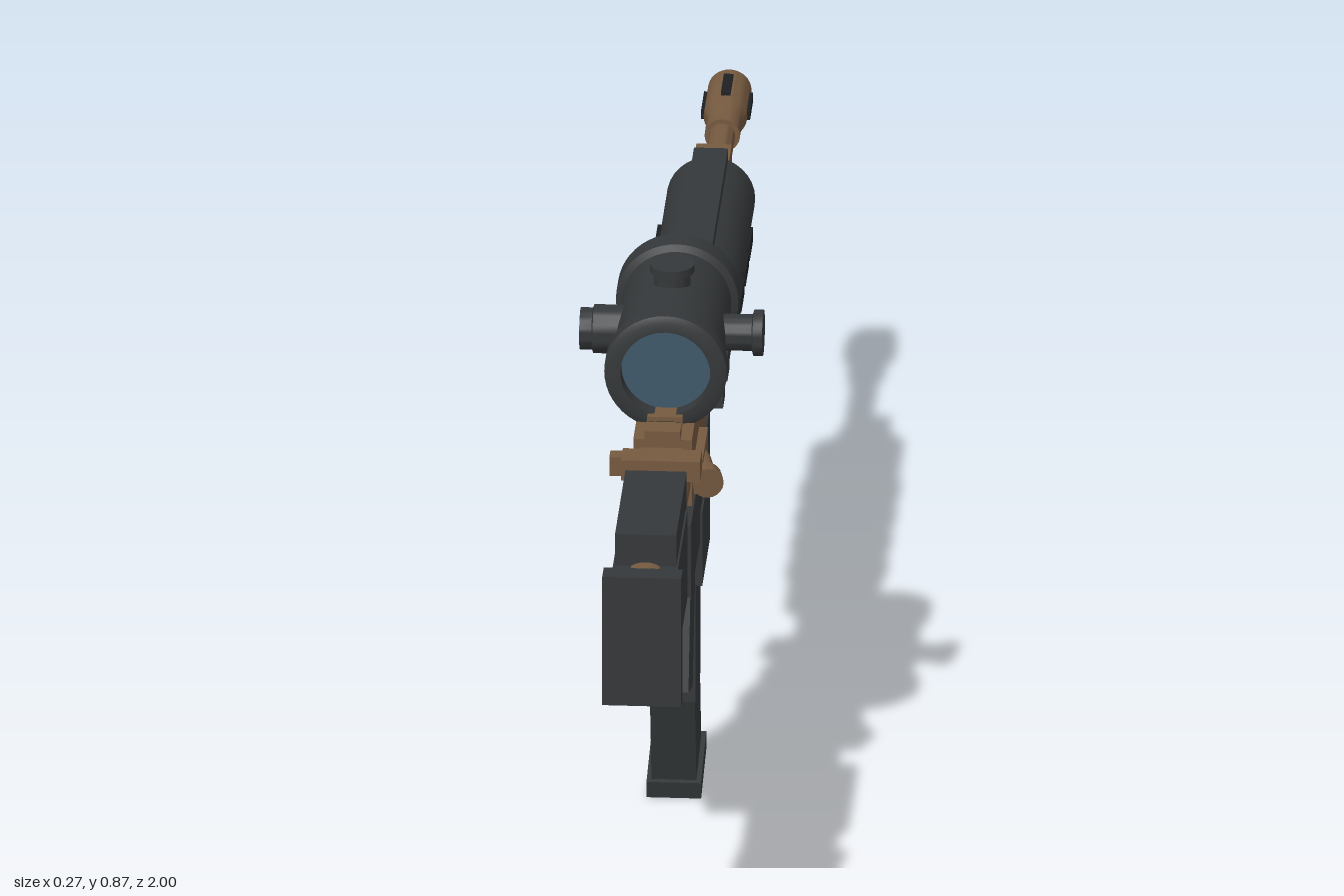
import * as THREE from 'three';
import { toCreasedNormals } from 'three/addons/utils/BufferGeometryUtils.js';

const mat = (color) => new THREE.MeshStandardMaterial({ color });

export function createModel() {
  const root = new THREE.Group();
  const dark = mat(0x35383a), black = mat(0x1e2022), brown = mat(0x765a40), glass = mat(0x3f5a6c);

  const add = (name, geo, material) => {
    const mesh = new THREE.Mesh(geo, material);
    mesh.name = name;
    root.add(mesh);
    return mesh;
  };
  // Box given by its limits on each axis
  const box = (name, material, x0, x1, y0, y1, z0, z1) => {
    const mesh = add(name, new THREE.BoxGeometry(x1 - x0, y1 - y0, z1 - z0), material);
    mesh.position.set((x0 + x1) / 2, (y0 + y1) / 2, (z0 + z1) / 2);
    return mesh;
  };
  // Side outline of [z, y] points, extruded across x
  const slab = (name, material, half, points) => {
    const shape = new THREE.Shape(points.map(([z, y]) => new THREE.Vector2(z, y)));
    const geo = new THREE.ExtrudeGeometry(shape, { depth: half * 2, bevelEnabled: false });
    geo.translate(0, 0, -half).rotateY(-Math.PI / 2);
    return add(name, geo, material);
  };
  // Turned part from [radius, position] points; axis 'x', 'y' or 'z'
  const turned = (name, material, axis, pos, points, sides = 32) => {
    let geo = new THREE.LatheGeometry(points.map(([r, h]) => new THREE.Vector2(r, h)), sides);
    geo = toCreasedNormals(geo, 0.5);
    if (axis === 'z') geo.rotateX(Math.PI / 2);
    if (axis === 'x') geo.rotateZ(-Math.PI / 2);
    const mesh = add(name, geo, material);
    mesh.position.set(...pos);
    return mesh;
  };

  // Stock
  box('buttPlate', dark, -0.058, 0.058, 0.465, 0.67, 0.965, 1);
  slab('stockBody', dark, 0.048, [[0.70, 0.51], [0.83, 0.51], [0.91, 0.475], [0.967, 0.475], [0.967, 0.65], [0.70, 0.65]]);
  box('cheekRest', dark, -0.045, 0.045, 0.64, 0.70, 0.675, 0.91);
  box('stockInsert', brown, -0.025, 0.025, 0.487, 0.51, 0.84, 0.88);
  turned('bufferTube', brown, 'z', [0, 0.615, 0], [[0, 0.5], [0.041, 0.5], [0.041, 0.966], [0, 0.966]]);

  // Upper receiver
  box('upperReceiver', brown, -0.043, 0.043, 0.58, 0.685, 0.045, 0.525);
  box('chargingHandle', brown, -0.058, 0.058, 0.64, 0.672, 0.53, 0.575);
  box('chargingHandleStem', brown, -0.03, 0.03, 0.64, 0.672, 0.50, 0.54);
  box('chargingHandleLatch', brown, -0.076, -0.05, 0.64, 0.67, 0.535, 0.56);
  box('ejectionPanel', brown, 0.04, 0.056, 0.58, 0.635, 0.36, 0.48);
  const assist = turned('forwardAssist', brown, 'z', [0.058, 0.61, 0.47],
    [[0, -0.05], [0.016, -0.05], [0.016, 0.015], [0.023, 0.015], [0.023, 0.04], [0, 0.04]], 20);
  assist.rotation.y = 0.2;
  turned('barrelNut', brown, 'z', [0, 0.6, 0], [[0, -0.02], [0.035, -0.02], [0.035, 0.09], [0, 0.09]]);

  // Top rail with cross teeth
  box('railBase', brown, -0.022, 0.022, 0.682, 0.691, -0.15, 0.53);
  for (let i = 0; i < 13; i++) {
    const z = -0.15 + i * 0.0537;
    box('railTooth', brown, -0.026, 0.026, 0.684, 0.70, z, z + 0.036);
    if (i < 12) box('railGap', black, -0.024, 0.024, 0.684, 0.693, z + 0.036, z + 0.0537);
  }

  // Handguard with top ridge and side vents
  turned('handguard', dark, 'z', [0, 0.595, 0], [[0, -0.575], [0.065, -0.575], [0.065, 0.01], [0, 0.01]]);
  box('handguardRidge', dark, -0.025, 0.025, 0.63, 0.674, -0.575, 0.01);
  for (const s of [-1, 1]) {
    for (let i = 0; i < 4; i++) {
      const vent = box('handguardVent', black, -0.006, 0.006, 0.583, 0.606, -0.036, 0.036);
      vent.position.set(s * 0.064, 0.594, -0.125 - i * 0.095);
    }
  }

  // Barrel and muzzle
  box('gasBlock', brown, -0.026, 0.026, 0.575, 0.65, -0.645, -0.57);
  turned('barrelCollar', brown, 'z', [0, 0.583, 0], [[0, -0.645], [0.027, -0.645], [0.027, -0.57], [0, -0.57]]);
  turned('barrel', brown, 'z', [0, 0.583, 0], [[0, -0.85], [0.019, -0.85], [0.019, -0.6], [0, -0.6]]);
  turned('muzzleBrake', brown, 'z', [0, 0.583, 0],
    [[0, -0.985], [0.012, -0.985], [0.012, -1], [0.032, -1], [0.032, -0.9], [0.026, -0.87], [0.026, -0.83], [0, -0.83]]);
  for (let i = 0; i < 4; i++) {
    const a = (i * Math.PI) / 2;
    const slot = box('muzzleSlot', black, -0.007, 0.007, -0.005, 0.005, -0.035, 0.035);
    slot.position.set(Math.sin(a) * 0.031, 0.583 + Math.cos(a) * 0.031, -0.94);
    slot.rotation.z = -a;
  }

  // Lower receiver, trigger and grip
  box('lowerReceiver', dark, -0.045, 0.045, 0.457, 0.572, 0.147, 0.578);
  box('magazineWell', dark, -0.048, 0.048, 0.383, 0.50, 0.19, 0.365);
  box('triggerGuard', dark, -0.015, 0.015, 0.40, 0.412, 0.36, 0.42);
  slab('grip', dark, 0.039, [[0.48, 0.48], [0.54, 0.288], [0.445, 0.257], [0.37, 0.46], [0.37, 0.48]].reverse());
  turned('takedownPin', brown, 'x', [0, 0.503, 0.245], [[0, 0], [0.014, 0], [0.014, 0.066], [0, 0.066]], 20);

  // Magazine, kicked forward in its lower half
  box('magazineTop', dark, -0.036, 0.036, 0.183, 0.40, 0.22, 0.333);
  slab('magazineBottom', dark, 0.033, [[0.262, 0.015], [0.155, 0.04], [0.2, 0.235], [0.25, 0.24], [0.31, 0.2]].reverse());
  slab('magazineBase', dark, 0.04, [[0.267, 0.0], [0.145, 0.03], [0.15, 0.057], [0.273, 0.027]].reverse());

  // Scope
  const sy = 0.764;
  turned('scopeBody', dark, 'z', [0, sy, 0], [
    [0.066, 0.18], [0.066, 0.15], [0.08, 0.15], [0.09, 0.155], [0.09, 0.195], [0.08, 0.2],
    [0.08, 0.425], [0.09, 0.43], [0.09, 0.46], [0.08, 0.465], [0.066, 0.465], [0.066, 0.435]], 48);
  turned('scopeLenses', glass, 'z', [0, sy, 0], [[0, 0.175], [0.067, 0.175], [0.067, 0.44], [0, 0.44]], 48);
  turned('elevationKnob', dark, 'y', [0, sy, 0.305],
    [[0, 0.06], [0.027, 0.06], [0.027, 0.094], [0.033, 0.096], [0.033, 0.108], [0, 0.108]]);
  turned('windageKnob', dark, 'x', [0, sy, 0.305],
    [[0, 0.07], [0.027, 0.07], [0.027, 0.118], [0.034, 0.12], [0.034, 0.134], [0, 0.134]]);
  turned('batteryCap', dark, 'x', [0, sy, 0.305],
    [[0, -0.135], [0.031, -0.135], [0.031, -0.117], [0.036, -0.115], [0.036, -0.07], [0, -0.07]]);

  // Scope mount and clamps
  box('mountBase', dark, -0.04, 0.04, 0.68, 0.70, 0.2, 0.43);
  for (const z of [0.268, 0.367]) {
    box('mountFoot', dark, -0.045, 0.045, 0.68, 0.72, z - 0.022, z + 0.022);
    box('mountClamp', dark, 0.04, 0.08, 0.678, 0.722, z - 0.022, z + 0.022);
  }

  return root;
}
